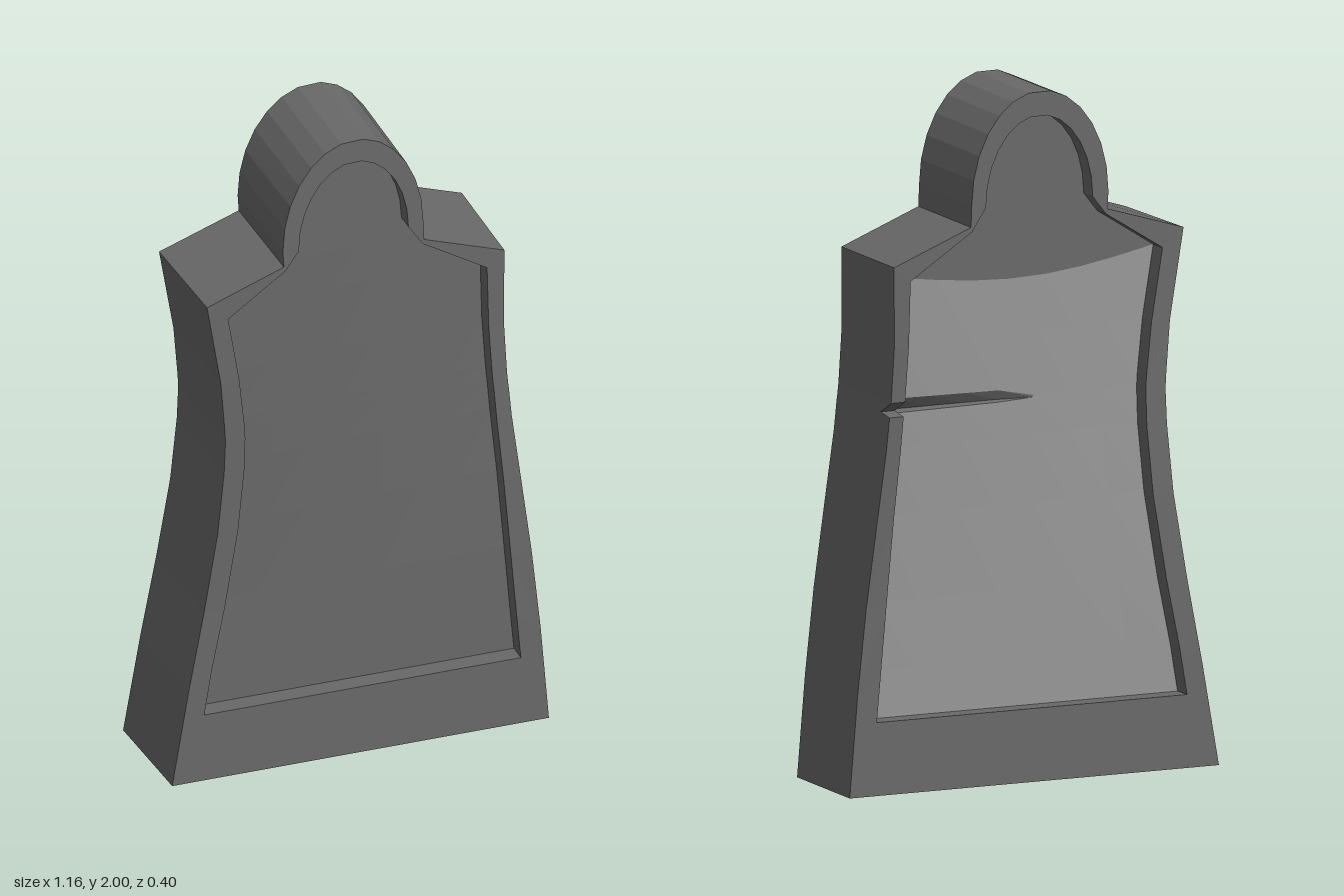
import * as THREE from 'three';

const HALF = 0.173, RECESS = 0.057, COLS = 7;
const CRACK_ROW = 6, SHOULDER_ROW = 9, CRACK_Y = 1.105;

// Side rows: outer y, left outer x, right outer x, inner y, left inner x, right inner x
const SIDE = [
  [0, 0.574, 0.574, 0.213, 0.475, 0.49],
  [0.3, 0.522, 0.55, 0.35, 0.452, 0.478],
  [0.55, 0.475, 0.525, 0.55, 0.412, 0.462],
  [0.8, 0.435, 0.495, 0.8, 0.372, 0.443],
  [1.0, 0.417, 0.471, 1.0, 0.354, 0.425],
  [1.098, 0.414, 0.463, 1.098, 0.352, 0.418],
  [1.105, 0.414, 0.462, 1.105, 0.352, 0.417],
  [1.14, 0.416, 0.459, 1.14, 0.354, 0.414],
  [1.3, 0.43, 0.452, 1.3, 0.372, 0.405],
];

// Rows of one side from the foot to the crown; s = 1 for +x, -1 for -x
function sideRows(s) {
  const right = s > 0;
  const rows = SIDE.map(([oy, ol, or, iy, il, ir]) => ({
    o: [right ? or : -ol, oy], i: [right ? ir : -il, iy],
  }));
  // Shoulder and neck
  rows.push(right ? { o: [0.456, 1.535], i: [0.402, 1.49] } : { o: [-0.475, 1.563], i: [-0.408, 1.51] });
  rows.push(right ? { o: [0.207, 1.628], i: [0.203, 1.615] } : { o: [-0.232, 1.64], i: [-0.228, 1.625] });
  // Rounded head
  for (let k = 0; k <= 6; k++) {
    const a = (k / 6) * 1.41, c = Math.cos(a), n = Math.sin(a) / Math.sin(1.41);
    rows.push({
      o: [-0.015 + s * 0.22 * c, 1.69 + 0.31 * n],
      i: [-0.013 + s * 0.172 * c, 1.68 + 0.25 * n],
    });
  }
  return rows;
}

// Warp of the whole slab: depth slants across the width near the top, left side splays backwards
function warp(x, y, z) {
  const slope = 0.01 - 0.072 * THREE.MathUtils.smoothstep(y, 0.35, 1.65);
  const splay = 0.1 * Math.max(0, -x);
  return [x + z * splay, y, z + x * slope + 0.008 - 0.008 * y];
}

function quad(list, a, b, c, d, flip = false) {
  const q = flip ? [a, d, c, b] : [a, b, c, d];
  for (const n of [0, 1, 2, 0, 2, 3]) list.push(...warp(...q[n]));
}

function makeMesh(name, list, material) {
  const g = new THREE.BufferGeometry();
  g.setAttribute('position', new THREE.Float32BufferAttribute(list, 3));
  g.computeVertexNormals(); // unshared corners give flat facets
  const m = new THREE.Mesh(g, material);
  m.name = name;
  return m;
}

export function createModel() {
  const stone = new THREE.MeshStandardMaterial({ color: 0x696969 });
  stone.name = 'dark stone';
  const paleStone = new THREE.MeshStandardMaterial({ color: 0x989898 });
  paleStone.name = 'pale stone';

  const R = sideRows(1), L = sideRows(-1);
  R[CRACK_ROW].notch = 0.06;
  const loop = [...R, ...L.slice().reverse()];
  const slab = [], front = [], back = [], head = [], crack = [];

  // Outer wall, raised rims and the walls of both recesses
  loop.forEach((p, n) => {
    const q = loop[(n + 1) % loop.length];
    const outer = (r, s) => [...r.o, s * HALF + (s < 0 ? r.notch || 0 : 0)];
    const inner = (r, s) => [...r.i, s * HALF + (s < 0 ? r.notch || 0 : 0)];
    const floor = (r, s) => [...r.i, s * (HALF - RECESS) + (s < 0 && r.notch ? 0.025 : 0)];
    quad(slab, outer(p, 1), outer(p, -1), outer(q, -1), outer(q, 1));
    for (const s of [1, -1]) {
      quad(slab, outer(p, s), outer(q, s), inner(q, s), inner(p, s), s < 0);
      quad(slab, inner(p, s), inner(q, s), floor(q, s), floor(p, s), s < 0);
    }
  });

  // Point on a recessed panel; the back one carries the crack and a sagging shoulder line
  function panelPoint(row, col, s) {
    const f = col / COLS, w = Math.max(0, (col - 3) / (COLS - 3));
    const x = THREE.MathUtils.lerp(L[row].i[0], R[row].i[0], f);
    let y = THREE.MathUtils.lerp(L[row].i[1], R[row].i[1], f);
    let z = s * (HALF - RECESS);
    if (s < 0) {
      if (Math.abs(row - CRACK_ROW) === 1) y = CRACK_Y + (y - CRACK_Y) * (w === 0 ? 0.15 : 0.75 + 0.25 * w);
      if (row === CRACK_ROW) z += 0.025 * Math.sqrt(w);
      if (row === SHOULDER_ROW) y -= 0.045 * Math.sin(Math.PI * f);
    }
    return [x, y, z];
  }

  for (let r = 0; r < R.length - 1; r++) {
    for (let c = 0; c < COLS; c++) {
      for (const s of [1, -1]) {
        const inCrack = (r === CRACK_ROW - 1 || r === CRACK_ROW) && c >= 3;
        const target = s > 0 ? front : inCrack ? crack : r >= SHOULDER_ROW ? head : back;
        quad(target, panelPoint(r, c, s), panelPoint(r, c + 1, s),
          panelPoint(r + 1, c + 1, s), panelPoint(r + 1, c, s), s < 0);
      }
    }
  }

  const group = new THREE.Group();
  group.name = 'headstone';
  group.add(
    makeMesh('slabAndRims', slab, stone),
    makeMesh('frontPanel', front, stone),
    makeMesh('backPanel', back, paleStone),
    makeMesh('backHeadPanel', head, stone),
    makeMesh('crack', crack, stone),
  );
  return group;
}
